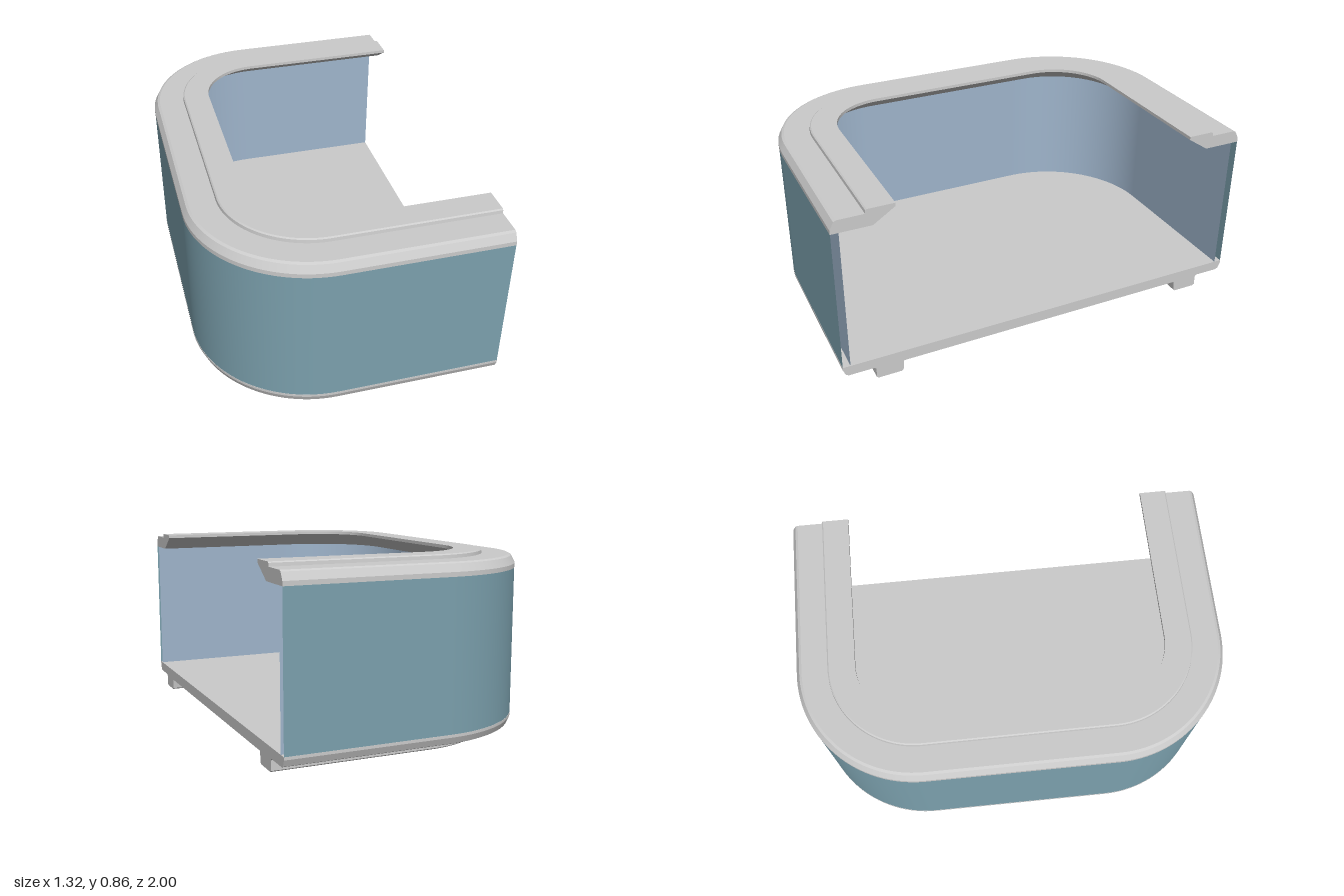
import * as THREE from 'three';

const END = 0.66, CX = -0.1, CZ = 0.44, R = 0.56;

// U-shaped outline, open at +x: points with their outward normal
function outline(steps = 28) {
  const pts = [{ x: END, z: CZ + R, nx: 0, nz: 1 }];
  for (const side of [0, 1]) {
    for (let i = 0; i <= steps; i++) {
      const a = Math.PI / 2 * (1 + side + i / steps);
      const nx = Math.cos(a), nz = Math.sin(a);
      pts.push({ x: CX + R * nx, z: (side ? -CZ : CZ) + R * nz, nx, nz });
    }
  }
  pts.push({ x: END, z: -CZ - R, nx: 0, nz: -1 });
  return pts;
}
const path = outline();

// Sweep a profile of [inward offset, height] points along the outline
function sweep(profile, closed) {
  const pos = [], nor = [], idx = [];
  const put = (p, [d, y], n) => {
    pos.push(p.x - p.nx * d, y, p.z - p.nz * d);
    nor.push(...n);
    return pos.length / 3 - 1;
  };
  const edges = closed ? profile.length : profile.length - 1;
  for (let e = 0; e < edges; e++) {
    const a = profile[e], b = profile[(e + 1) % profile.length];
    const len = Math.hypot(b[0] - a[0], b[1] - a[1]);
    const no = (b[1] - a[1]) / len, ny = (b[0] - a[0]) / len;
    path.forEach((p, i) => {
      const n = [p.nx * no, ny, p.nz * no];
      const k = put(p, a, n);
      put(p, b, n);
      if (i) idx.push(k - 2, k - 1, k, k, k - 1, k + 1);
    });
  }
  // flat cut faces at the open ends
  if (closed) {
    const tris = THREE.ShapeUtils.triangulateShape(profile.map(q => new THREE.Vector2(...q)), []);
    [path[0], path[path.length - 1]].forEach((p, side) => {
      const base = pos.length / 3;
      profile.forEach(q => put(p, q, [1, 0, 0]));
      for (const t of tris) {
        let [a, b, c] = t.map(i => base + i);
        const area = (pos[b * 3 + 1] - pos[a * 3 + 1]) * (pos[c * 3 + 2] - pos[a * 3 + 2])
          - (pos[b * 3 + 2] - pos[a * 3 + 2]) * (pos[c * 3 + 1] - pos[a * 3 + 1]);
        if (area < 0) [b, c] = [c, b];
        idx.push(a, b, c);
      }
    });
  }
  const g = new THREE.BufferGeometry();
  g.setAttribute('position', new THREE.Float32BufferAttribute(pos, 3));
  g.setAttribute('normal', new THREE.Float32BufferAttribute(nor, 3));
  g.setIndex(idx);
  return g;
}

export function createModel() {
  const group = new THREE.Group();
  const mat = color => new THREE.MeshStandardMaterial({ color, side: THREE.DoubleSide });
  const grey = mat(0xcccccc);
  const add = (name, geometry, material) => {
    const m = new THREE.Mesh(geometry, material);
    m.name = name;
    group.add(m);
    return m;
  };

  // bevelled top rim with a raised inner band and a sloping underside
  add('topRim', sweep([
    [0, 0.78], [0, 0.8], [0.018, 0.834], [0.03, 0.84], [0.15, 0.84], [0.152, 0.855],
    [0.158, 0.86], [0.28, 0.86], [0.28, 0.845], [0.18, 0.78],
  ], true), grey);

  // outer and inner skins of the hollow wall
  add('outerWall', sweep([[0.001, 0.105], [0.001, 0.795]], false), mat(0x7ba0ad));
  add('innerWall', sweep([[0.036, 0.785], [0.036, 0.105]], false), mat(0x9fb5cc));

  // bottom rim with the foot ridge beneath it
  add('bottomRim', sweep([
    [0.28, 0.055], [0.275, 0.006], [0.268, 0], [0.158, 0], [0.15, 0.006], [0.15, 0.052],
    [0.143, 0.06], [0.025, 0.06], [0.012, 0.066], [0, 0.095], [0, 0.108], [0.28, 0.108],
  ], true), grey);

  // floor panel filling the bottom rim
  const shape = new THREE.Shape(path.map(p =>
    new THREE.Vector2(p.x - p.nx * 0.28, -(p.z - p.nz * 0.28))));
  const floor = add('floorPanel', new THREE.ExtrudeGeometry(shape, { depth: 0.053, bevelEnabled: false })
    .rotateX(-Math.PI / 2), grey);
  floor.position.y = 0.055;

  return group;
}
